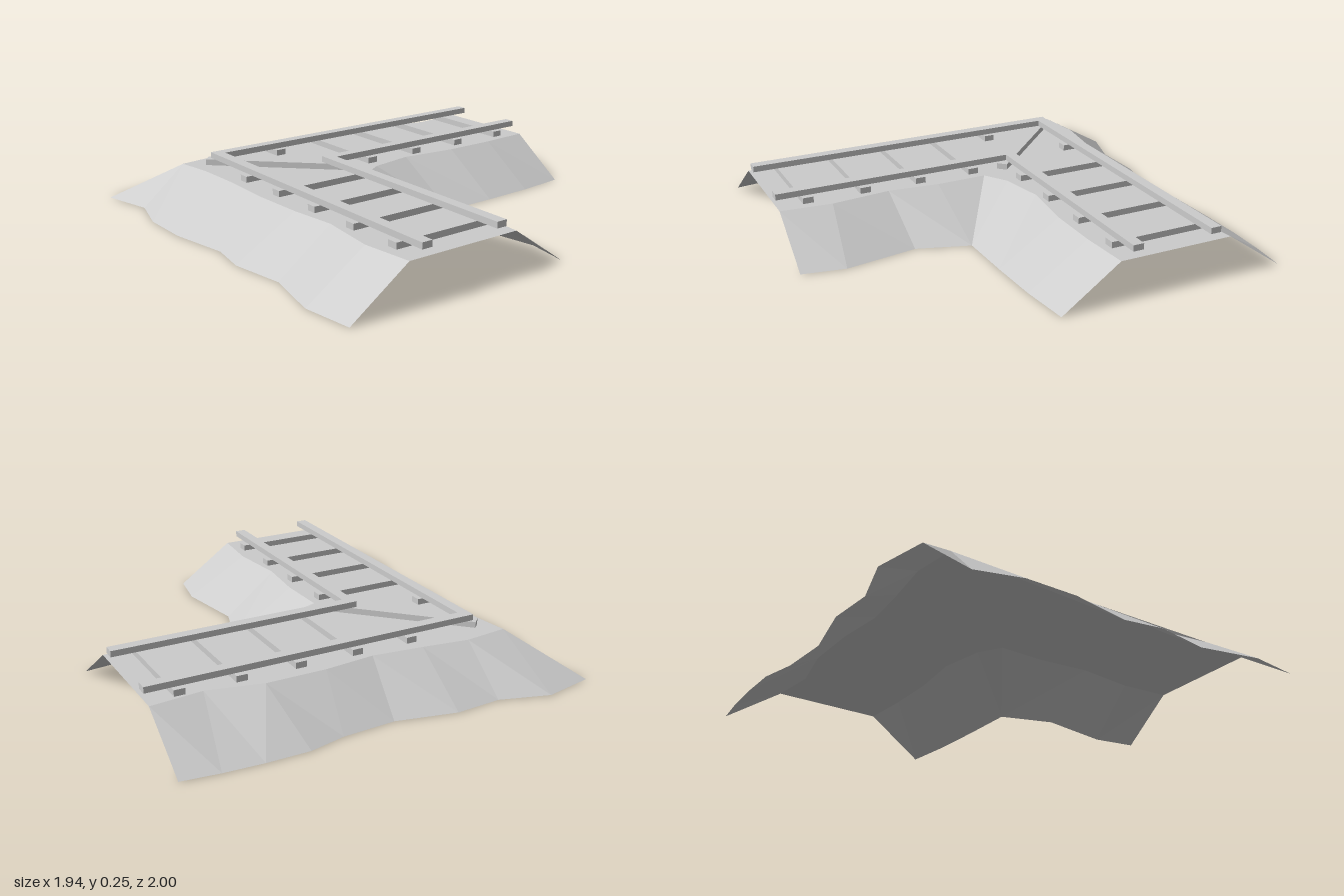
import * as THREE from 'three';

const TOP = 0.19, TIE_H = 0.028, RAIL_H = 0.028;
const RAIL_W = 0.05, TIE_W = 0.05;

export function createModel() {
  const group = new THREE.Group();
  group.name = 'cornerTrack';
  const solid = new THREE.MeshStandardMaterial({ color: 0xcccccc, flatShading: true });
  const thin = new THREE.MeshStandardMaterial({ color: 0xcccccc, flatShading: true, side: THREE.DoubleSide });

  const add = (name, geometry, material = solid) => {
    const mesh = new THREE.Mesh(geometry, material);
    mesh.name = name;
    group.add(mesh);
    return mesh;
  };
  // Plan outline given as [x, z] points
  const plan = (pts) => new THREE.Shape(pts.map(([x, z]) => new THREE.Vector2(x, -z)));

  // Embankment edges as [x, z]; repeated points make the corner fans
  const outerFoot = [
    [-0.94, 1], [-0.97, 0.76], [-0.91, 0.48], [-0.95, 0.22], [-0.92, 0.04], [-0.97, -0.25],
    [-0.97, -0.49], [-0.91, -0.7], [-0.97, -0.95], [-0.73, -1], [-0.5, -0.93], [-0.28, -0.945],
    [0, -0.885], [0.25, -0.9], [0.42, -0.94], [0.62, -0.94], [0.8, -0.93], [0.97, -0.91]];
  const outerCrest = [
    [-0.665, 1], [-0.69, 0.76], [-0.655, 0.48], [-0.68, 0.26], [-0.69, 0], [-0.68, -0.25],
    [-0.685, -0.49], [-0.71, -0.67], [-0.71, -0.67], [-0.71, -0.67], [-0.5, -0.695], [-0.28, -0.665],
    [-0.04, -0.64], [0.2, -0.665], [0.48, -0.665], [0.48, -0.665], [0.73, -0.61], [0.97, -0.635]];
  const innerFoot = [
    [0.97, 0.175], [0.73, 0.2], [0.48, 0.21], [0.21, 0.215], [0.21, 0.215],
    [0.21, 0.215], [0.21, 0.215], [0.13, 0.46], [0.185, 0.8], [0.15, 1]];
  const innerCrest = [
    [0.97, -0.095], [0.73, -0.08], [0.48, -0.08], [0.21, -0.11], [0, -0.07],
    [-0.11, 0], [-0.105, 0.24], [-0.13, 0.48], [-0.1, 0.76], [-0.12, 1]];

  // Sloped bank lofted between its foot and crest
  const bank = (foot, crest) => {
    const pos = [];
    const same = (p, q) => p[0] === q[0] && p[1] === q[1];
    const low = ([x, z]) => [x, 0, z];
    const high = ([x, z]) => [x, TOP, z];
    for (let i = 0; i < foot.length - 1; i++) {
      const [a, b, c, d] = [foot[i], foot[i + 1], crest[i], crest[i + 1]];
      if (!same(a, b)) pos.push(...low(a), ...high(d), ...low(b));
      if (!same(c, d)) pos.push(...low(a), ...high(c), ...high(d));
    }
    const g = new THREE.BufferGeometry();
    g.setAttribute('position', new THREE.Float32BufferAttribute(pos, 3));
    g.computeVertexNormals();
    return g;
  };
  add('outerBank', bank(outerFoot, outerCrest), thin);
  add('innerBank', bank(innerFoot, innerCrest), thin);

  // Flat bed on top of the banks
  const bedPoints = [...outerCrest, ...innerCrest].filter(
    (p, i, all) => i === 0 || p[0] !== all[i - 1][0] || p[1] !== all[i - 1][1]);
  const bed = new THREE.ShapeGeometry(plan(bedPoints)).rotateX(-Math.PI / 2);
  add('trackBed', bed, thin).position.y = TOP;

  // Cross ties on both legs
  const tie = (name, x, z, length, angle) => {
    const mesh = add(name, new THREE.BoxGeometry(length, TIE_H, TIE_W));
    mesh.position.set(x, TOP + 0.003 + TIE_H / 2, z);
    mesh.rotation.y = angle;
  };
  for (let i = 0; i < 4; i++) {
    tie('frontLegTie', -0.39, 0.04 + i * 0.273, 0.49, 0);
    tie('sideLegTie', 0.015 + i * 0.272, -0.365, 0.49, Math.PI / 2);
  }
  // Short ties under the outer rail and the diagonal corner tie
  tie('frontLegShortTie', -0.583, -0.23, 0.105, 0);
  tie('sideLegShortTie', -0.258, -0.558, 0.105, Math.PI / 2);
  tie('cornerTie', -0.38, -0.35, 0.68, -Math.PI / 4);

  // L-shaped rails, mitred at the corner
  const rail = (name, x, z) => {
    const shape = plan([[x, 1], [x + RAIL_W, 1], [x + RAIL_W, z + RAIL_W],
      [0.97, z + RAIL_W], [0.97, z], [x, z]]);
    const g = new THREE.ExtrudeGeometry(shape, { depth: RAIL_H, bevelEnabled: false });
    add(name, g.rotateX(-Math.PI / 2)).position.y = TOP + 0.003 + TIE_H;
  };
  rail('outerRail', -0.605, -0.582);
  rail('innerRail', -0.225, -0.2);

  return group;
}
